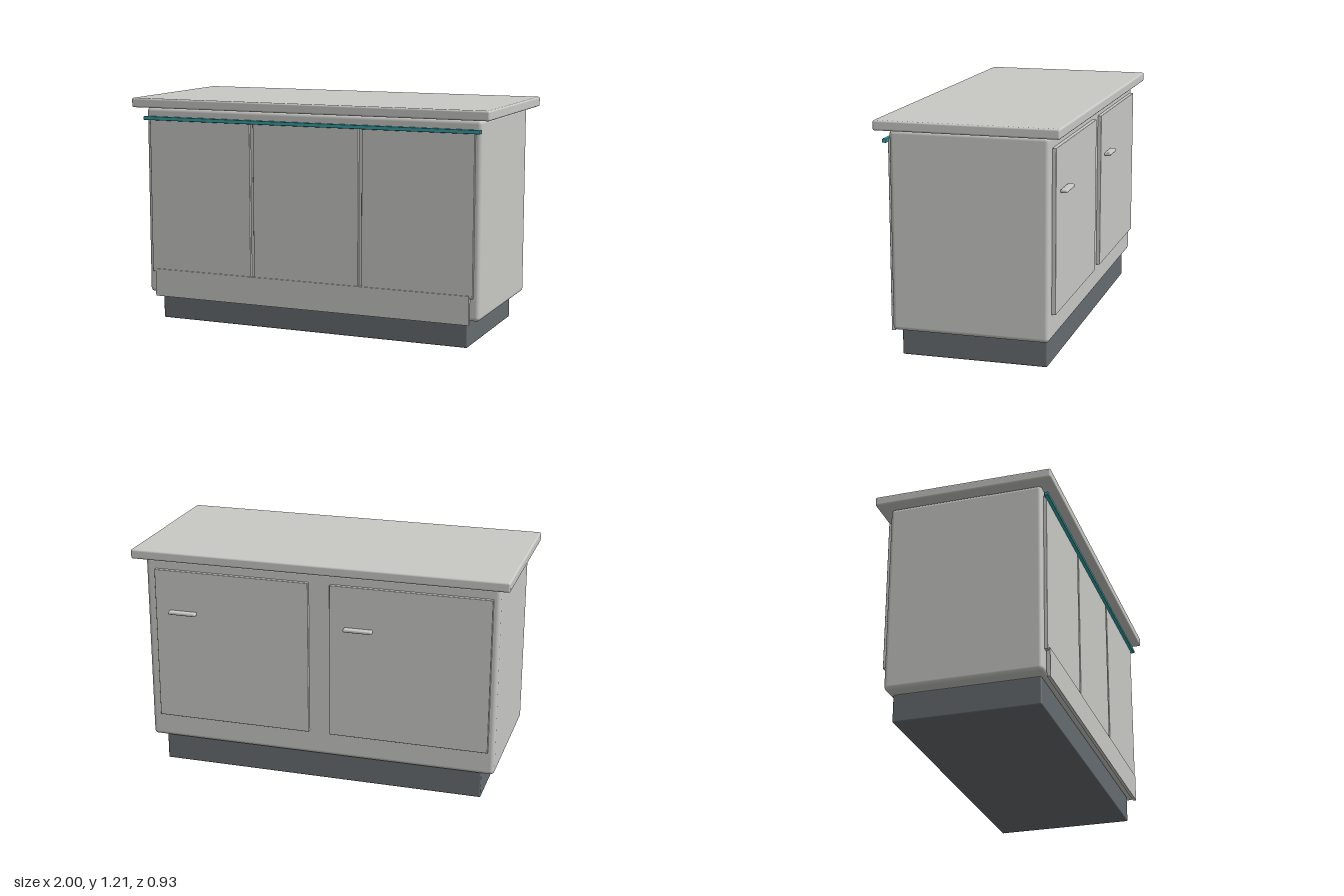
import * as THREE from 'three';
import { RoundedBoxGeometry } from 'three/addons/geometries/RoundedBoxGeometry.js';

const material = (name, color) => {
  const m = new THREE.MeshStandardMaterial({ color });
  m.name = name;
  return m;
};

export function createModel() {
  const group = new THREE.Group();
  const steel = material('brushed steel', 0xc8c8c5);
  const dark = material('dark plinth', 0x666c70);
  const teal = material('teal trim', 0x38a0a4);

  // Box given by its [min, max] on each axis, with optionally rounded edges
  const block = (name, mat, [x0, x1], [y0, y1], [z0, z1], radius = 0) => {
    const size = [x1 - x0, y1 - y0, z1 - z0];
    const geometry = radius
      ? new RoundedBoxGeometry(...size, 3, radius)
      : new THREE.BoxGeometry(...size);
    const mesh = new THREE.Mesh(geometry, mat);
    mesh.name = name;
    mesh.position.set((x0 + x1) / 2, (y0 + y1) / 2, (z0 + z1) / 2);
    group.add(mesh);
  };

  // Carcass
  block('plinth', dark, [-0.875, 0.875], [0, 0.147], [-0.377, 0.377], 0.008);
  block('body', steel, [-0.945, 0.945], [0.146, 1.162], [-0.402, 0.404], 0.022);
  block('worktop', steel, [-1, 1], [1.163, 1.214], [-0.466, 0.466], 0.01);

  // Front: three panels with narrow gaps, kick board and trim rail
  for (const [x0, x1] of [[-0.915, -0.32], [-0.30, 0.295], [0.315, 0.912]])
    block('frontPanel', steel, [x0, x1], [0.265, 1.112], [0.402, 0.42], 0.002);
  block('kickBoard', steel, [-0.895, 0.895], [0.13, 0.28], [0.408, 0.426]);
  block('trimRail', teal, [-0.945, 0.945], [1.095, 1.115], [0.416, 0.438], 0.003);

  // Back: two doors, each with a pull handle
  for (const x of [0.89, -0.068]) {
    block('backDoor', steel, [x - 0.843, x], [0.277, 1.102], [-0.422, -0.4], 0.003);
    block('doorHandle', steel, [x - 0.232, x - 0.08], [0.868, 0.886], [-0.456, -0.42], 0.007);
  }

  return group;
}
